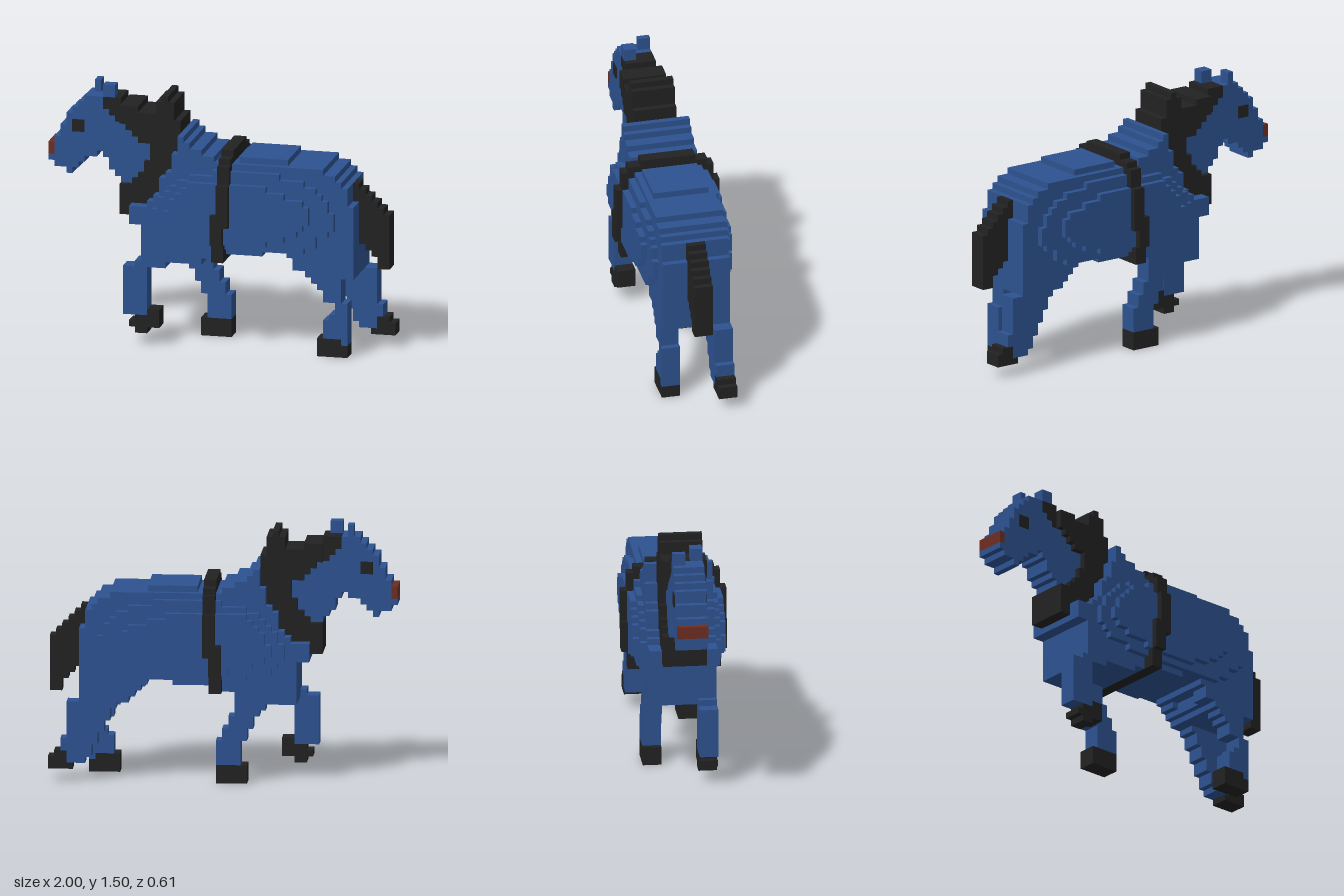
import * as THREE from 'three';

const U = 1 / 28; // one block; x counts blocks from the nose, y from the ground

const mat = (name, color) => {
  const m = new THREE.MeshStandardMaterial({ color });
  m.name = name;
  return m;
};

export function createModel() {
  const coat = mat('blue coat', 0x2d5290);
  const dark = mat('black', 0x222222);
  const red = mat('muzzle red', 0x6e2d22);
  const horse = new THREE.Group();
  horse.name = 'horse';

  const add = (name, geometry, material) => {
    const mesh = new THREE.Mesh(geometry, material);
    mesh.name = name;
    horse.add(mesh);
    return mesh;
  };

  // Stepped side profile: columns are [startX, bottom, top], extruded from z0 to z1
  const slab = (name, material, z0, z1, columns, endX) => {
    const lower = [], upper = [];
    const put = (list, x, y) => {
      const last = list[list.length - 1];
      if (!last || last.x !== x || last.y !== y) list.push(new THREE.Vector2(x, y));
    };
    columns.forEach(([x, lo, hi], i) => {
      const next = i + 1 < columns.length ? columns[i + 1][0] : endX;
      put(lower, x, lo);
      put(lower, next, lo);
      put(upper, x, hi);
      put(upper, next, hi);
    });
    const shape = new THREE.Shape([...lower, ...upper.reverse()]);
    const g = new THREE.ExtrudeGeometry(shape, { depth: z1 - z0, bevelEnabled: false });
    g.translate(-28, 0, z0);
    g.scale(U, U, U);
    return add(name, g, material);
  };
  const block = (name, material, x0, x1, y0, y1, z0, z1) =>
    slab(name, material, z0, z1, [[x0, y0, y1]], x1);

  // Torso core, with two rounded-out layers on the flanks
  slab('torso', coat, -5.5, 5.5, [
    [14, 20, 23], [16, 13, 23], [17, 13, 24], [18, 13, 25], [19, 13, 28], [20, 14, 29],
    [21, 14, 32], [22, 14, 35], [23, 14, 34], [24, 14, 33], [26, 15, 32], [28, 16, 31],
    [36, 17, 31], [40, 16, 31], [42, 14, 31], [43, 13, 31], [46, 13, 30], [48, 13, 29],
    [49, 13, 28], [50, 13, 25]], 51);
  slab('innerFlank', coat, -6.5, 6.5, [
    [18, 20, 23], [19, 19, 25], [20, 18, 26], [21, 18, 27], [22, 18, 28], [24, 17, 29],
    [28, 17, 30], [39, 17, 29], [43, 18, 28], [45, 20, 27], [46, 20, 26], [47, 21, 24]], 48);
  slab('outerFlank', coat, -7.5, 7.5, [
    [20, 21, 23], [21, 20, 25], [22, 20, 26], [23, 19, 27], [24, 19, 28], [27, 18, 28],
    [37, 19, 27], [40, 20, 26], [42, 21, 26], [43, 22, 25]], 44);
  block('backPanel', coat, 32, 40, 31, 32, -4.5, 4.5);

  // Head and neck
  slab('head', coat, -2.5, 2.5, [
    [1, 28, 33], [2, 28, 35], [3, 27, 37], [4, 28, 38], [5, 29, 39], [6, 30, 40],
    [8, 31, 40], [9, 30, 38], [10, 28, 37], [11, 27, 36], [12, 26, 36], [14, 27, 35],
    [16, 28, 34]], 18);
  block('lowerLip', coat, 0, 1, 29, 30, -2.5, 2.5);
  block('muzzle', red, 0, 1, 30, 32, -2.5, 2.5);
  block('leftEar', coat, 9, 11, 40, 42, 0.5, 2.5);
  block('rightEar', coat, 7, 8, 40, 42, -2.5, -0.5);
  for (const side of [-1, 1]) {
    const eye = add('eye', new THREE.BoxGeometry(2 * U, 2 * U, 0.008), dark);
    eye.position.set(-23 * U, 35 * U, side * (2.5 * U + 0.003));
  }

  // Mane: forelock, crest and the chest collar
  slab('forelock', dark, -2.5, 2.5, [[9, 38, 40], [10, 37, 40], [11, 36, 40]], 12);
  slab('crest', dark, -3.5, 3.5, [[12, 36, 39], [13, 35, 39], [14, 34, 39], [15, 33, 38]], 17);
  slab('collar', dark, -3.5, 3.5, [
    [12, 21, 26], [14, 23, 27], [15, 23, 28], [16, 23, 30], [17, 24, 38], [18, 25, 40],
    [19, 28, 41], [20, 29, 40], [21, 32, 37]], 22);

  // Tail
  slab('tail', dark, -1.5, 1.5, [
    [50, 25, 28], [51, 18, 27], [52, 17, 26], [53, 16, 25], [54, 14, 24], [55, 14, 23]], 56);

  // Girth strap around the barrel
  block('strapTop', dark, 29, 31, 31, 33, -4.5, 4.5);
  block('strapShoulder', dark, 29, 31, 31, 32, -6.5, 6.5);
  slab('strapBand', dark, -7.5, 7.5, [[28, 15, 23], [29, 15, 31], [30, 21, 31]], 31);
  slab('strapSide', dark, -8.5, 8.5, [[28, 18, 23], [29, 18, 28], [30, 21, 28]], 31);

  // Left legs (+z)
  const L = [2.5, 5.5], R = [-5.5, -2.5];
  slab('frontLeftLeg', coat, ...L, [
    [13, 5, 13], [14, 5, 13], [15, 5, 14], [17, 13, 14]], 20);
  slab('frontLeftHoof', dark, ...L, [[14, 3, 4], [15, 2, 5], [17, 3, 6]], 19);
  slab('hindLeftLeg', coat, ...L, [
    [40, 16, 18], [41, 14, 18], [43, 13, 18], [44, 12, 18], [45, 11, 18], [46, 9, 18],
    [48, 6, 18], [49, 6, 9]], 50);
  slab('hindLeftAnkle', coat, ...L, [[46, 3, 6], [47, 3, 7], [49, 2, 6]], 50);
  slab('hindLeftHoof', dark, ...L, [[45, 0, 3], [49, 0, 2]], 50);

  // Right legs (-z)
  slab('frontRightLeg', coat, ...R, [
    [20, 13, 15], [21, 12, 15], [22, 11, 15], [23, 9, 15], [24, 7, 15], [25, 3, 15],
    [26, 3, 11], [27, 3, 9], [28, 3, 7]], 29);
  block('frontRightHoof', dark, 24, 29, 0, 3, ...R);
  slab('hindRightLeg', coat, ...R, [
    [40, 16, 18], [41, 15, 18], [43, 14, 18], [44, 13, 18], [45, 12, 18], [46, 10, 18],
    [47, 8, 18], [48, 6, 18], [49, 4, 18], [50, 3, 15], [51, 3, 13], [53, 5, 7]], 54);
  slab('hindRightHoof', dark, ...R, [[52, 2, 3], [53, 2, 5], [55, 2, 4]], 56);

  return horse;
}
